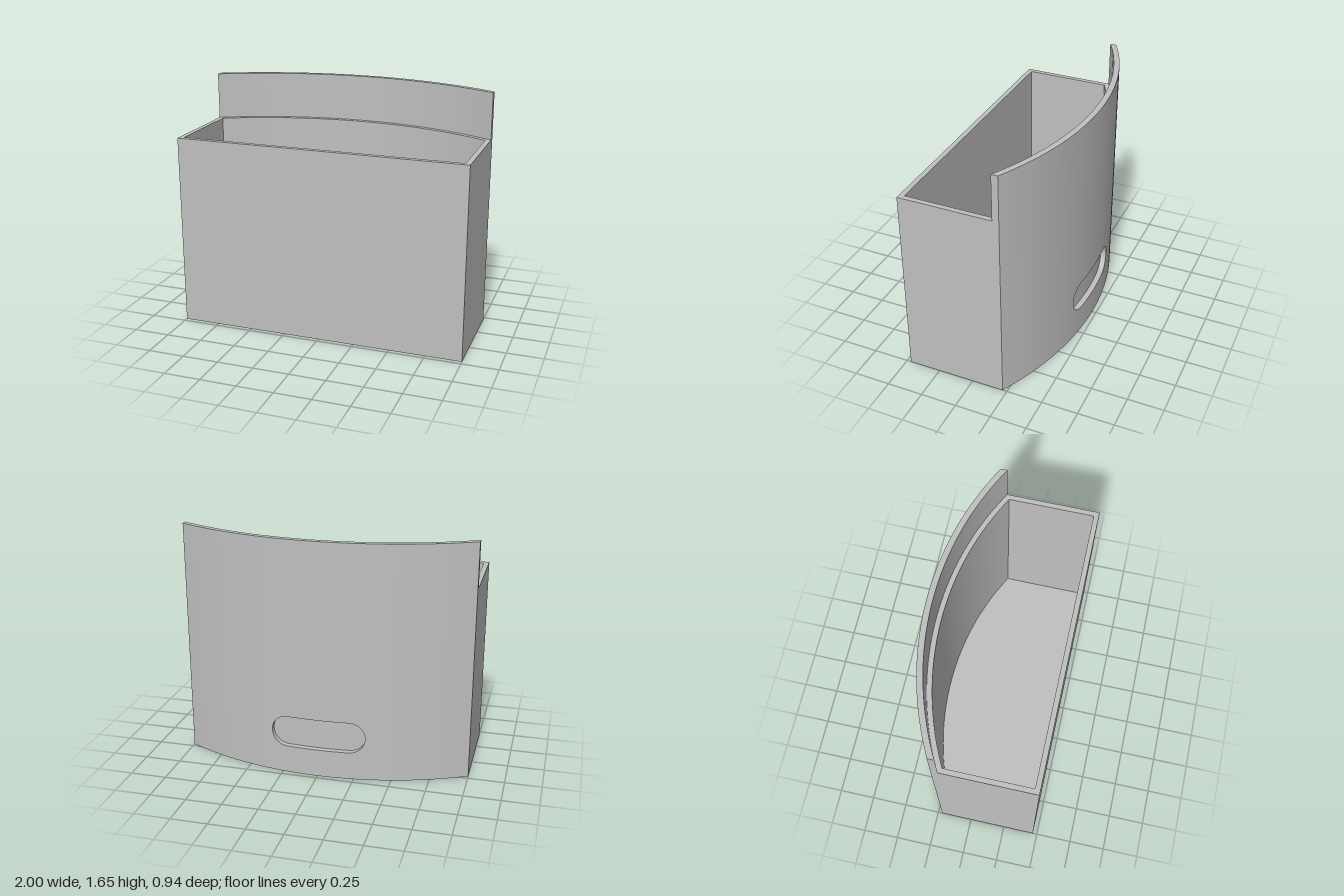
import * as THREE from 'three';
import { mergeGeometries, toCreasedNormals } from 'three/addons/utils/BufferGeometryUtils.js';

const CENTRE_Z = 1.655;                       // shared axis of the curved back
const R_OUTER = 2.125, R_JOIN = 2.085, R_CAVITY = 2.05;
const FRONT_Z = 0.47, WALL = 0.035;
const RIM_Y = 1.33, TOP_Y = 1.65, FLOOR_Y = 0.035;
const SLOT = { y: 0.305, r: 0.11, half: 0.215 };

const arcZ = (x, r) => CENTRE_Z - Math.sqrt(r * r - x * x);
const range = (a, b, n) => Array.from({ length: n + 1 }, (_, i) => a + (b - a) * i / n);

// D-shaped plan outline: straight front, curved back (shape y is -z)
function outline(halfWidth, frontZ, r) {
  const back = range(halfWidth, -halfWidth, 64).map(x => new THREE.Vector2(x, -arcZ(x, r)));
  return [new THREE.Vector2(-halfWidth, -frontZ), new THREE.Vector2(halfWidth, -frontZ), ...back];
}

function extrudeUp(shape, y0, y1) {
  const g = new THREE.ExtrudeGeometry(shape, { depth: y1 - y0, bevelEnabled: false });
  g.rotateX(-Math.PI / 2).translate(0, y0, 0);
  return toCreasedNormals(g, 0.4);
}

// Curved slab between two heights, built from four-cornered sections along x
function slab(xs, low, high) {
  const rings = xs.map(x => {
    const zo = arcZ(x, R_OUTER), zi = arcZ(x, R_JOIN);
    return [[x, low(x), zo], [x, high(x), zo], [x, high(x), zi], [x, low(x), zi]];
  });
  const pos = [];
  const quad = (a, b, c, d) => pos.push(...a, ...b, ...c, ...a, ...c, ...d);
  for (let i = 0; i < rings.length - 1; i++) {
    const p = rings[i], q = rings[i + 1];
    for (let k = 0; k < 4; k++) quad(p[k], p[(k + 1) % 4], q[(k + 1) % 4], q[k]);
  }
  // close only the outer ends of the plate
  const s = rings[0], e = rings[rings.length - 1];
  if (xs[0] === -1) quad(s[0], s[3], s[2], s[1]);
  if (xs[xs.length - 1] === 1) quad(e[0], e[1], e[2], e[3]);
  const g = new THREE.BufferGeometry();
  g.setAttribute('position', new THREE.Float32BufferAttribute(pos, 3));
  return g;
}

export function createModel() {
  const group = new THREE.Group();
  group.name = 'curvedBackHolder';
  const grey = new THREE.MeshStandardMaterial({ color: 0xc0c0c0 });
  grey.name = 'lightGrey';
  const add = (name, geometry) => {
    const mesh = new THREE.Mesh(geometry, grey);
    mesh.name = name;
    group.add(mesh);
  };

  // Open container: walls and floor
  const walls = new THREE.Shape(outline(1, FRONT_Z, R_JOIN));
  walls.holes.push(new THREE.Path(outline(1 - WALL, FRONT_Z - WALL, R_CAVITY)));
  add('containerWalls', extrudeUp(walls, FLOOR_Y, RIM_Y));
  add('containerFloor', extrudeUp(new THREE.Shape(outline(1, FRONT_Z, R_JOIN)), 0, FLOOR_Y));

  // Tall curved back plate with a rounded slot cut through it
  const slotHalf = SLOT.half + SLOT.r;
  const slotHeight = x => {
    const d = Math.max(0, Math.abs(x) - SLOT.half);
    return Math.sqrt(Math.max(0, SLOT.r * SLOT.r - d * d));
  };
  const cap = range(0, Math.PI / 2, 12).map(t => SLOT.half + SLOT.r * Math.sin(t));
  const slotXs = [...cap.map(x => -x).reverse(), ...range(-SLOT.half, SLOT.half, 14).slice(1, -1), ...cap];
  const bottom = () => 0, top = () => TOP_Y;
  const plate = mergeGeometries([
    slab(range(-1, -slotHalf, 22), bottom, top),
    slab(slotXs, bottom, x => SLOT.y - slotHeight(x)),
    slab(slotXs, x => SLOT.y + slotHeight(x), top),
    slab(range(slotHalf, 1, 22), bottom, top),
  ]);
  add('backPlate', toCreasedNormals(plate, 0.4));

  return group;
}
